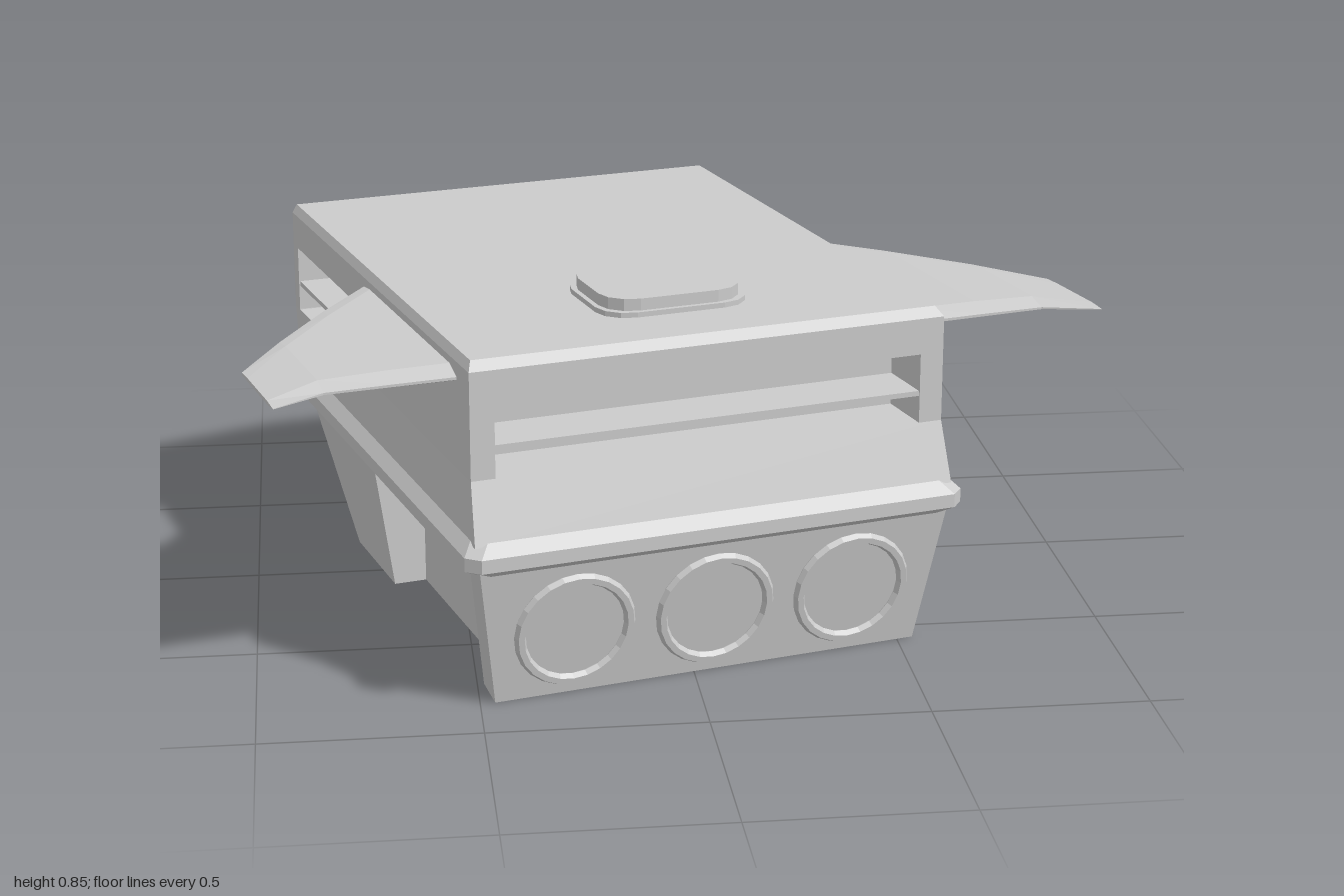
import * as THREE from 'three';
import { ConvexGeometry } from 'three/addons/geometries/ConvexGeometry.js';

const material = new THREE.MeshStandardMaterial({ color: 0xcccccc, flatShading: true });

function part(parent, name, geometry) {
  const mesh = new THREE.Mesh(geometry, material);
  mesh.name = name;
  parent.add(mesh);
  return mesh;
}

// Closed solid through a stack of rings of [x, y, z] points
function loft(rings) {
  const pos = [];
  const tri = (a, b, c) => pos.push(...a, ...b, ...c);
  const n = rings[0].length;
  for (let r = 0; r < rings.length - 1; r++) {
    const a = rings[r], b = rings[r + 1];
    for (let i = 0; i < n; i++) {
      const j = (i + 1) % n;
      tri(a[i], a[j], b[j]);
      tri(a[i], b[j], b[i]);
    }
  }
  const bottom = rings[0], top = rings[rings.length - 1];
  for (let i = 1; i < n - 1; i++) {
    tri(bottom[0], bottom[i + 1], bottom[i]);
    tri(top[0], top[i], top[i + 1]);
  }
  const g = new THREE.BufferGeometry();
  g.setAttribute('position', new THREE.Float32BufferAttribute(pos, 3));
  g.computeVertexNormals();
  return g;
}

// Rectangular levels [y, half width, front z, back z], front corners cut by c
function hull(levels, c = 0) {
  return loft(levels.map(([y, w, f, b]) => c
    ? [[w - c, y, f], [w, y, f - c], [w, y, b], [-w, y, b], [-w, y, f - c], [-w + c, y, f]]
    : [[w, y, f], [w, y, b], [-w, y, b], [-w, y, f]]));
}

// Plan outline given as its right half [x, z], mirrored and raised between two heights
function slab(half, y0, y1) {
  const all = [...half, ...half.map(([x, z]) => [-x, z]).reverse()];
  const shape = new THREE.Shape(all.map(([x, z]) => new THREE.Vector2(x, -z)));
  return new THREE.ExtrudeGeometry(shape, { depth: y1 - y0, bevelEnabled: false })
    .rotateX(-Math.PI / 2).translate(0, y0, 0);
}

// Tapered wing with a sharp leading edge: stations [x, back z, front z, half thickness]
function wing(side) {
  const y = 0.752;
  const stations = [[0.55, -0.09, 0.65, 0.021], [0.72, 0.1, 0.648, 0.02],
    [0.872, 0.284, 0.648, 0.016], [1.0, 0.444, 0.708, 0.004]];
  return loft(stations.map(([x, b, f, t]) => {
    const ring = [[b, -0.7], [b, 0.7], [b + 0.05, 1], [f - 0.05, 1], [f, 0.15], [f, -0.15], [f - 0.05, -1], [b + 0.05, -1]]
      .map(([z, k]) => [side * x, y + k * t, z]);
    return side > 0 ? ring : ring.reverse();
  }));
}

// Rounded rectangle hatch layer
function hatchLayer(w, d, y0, y1) {
  const c = 0.075, half = [];
  for (const s of [1, -1]) {
    for (let i = 0; i <= 3; i++) {
      const a = (s > 0 ? Math.PI / 2 - i * Math.PI / 6 : -i * Math.PI / 6);
      half.push([w - c + c * Math.cos(a), s * (d - c) + c * Math.sin(a)]);
    }
  }
  return slab(half, y0, y1).translate(0, 0, 0.393);
}

export function createModel() {
  const model = new THREE.Group();
  model.name = 'vehicle';
  const body = new THREE.Group();
  body.name = 'body';
  body.position.set(-0.15, 0, 0.01);
  body.rotation.y = Math.PI / 12;
  model.add(body);

  // Upper body: flared skirt, window band with recesses, bevelled roof
  part(body, 'skirt', hull([[0.4, 0.58, 0.78, -0.65], [0.54, 0.572, 0.735, -0.71]]));
  part(body, 'windowBand', slab([
    [0.515, 0.585], [0.515, 0.735], [0.572, 0.735], [0.572, -0.05],
    [0.345, -0.05], [0.345, -0.67], [0.572, -0.67], [0.572, -0.71],
  ], 0.54, 0.705));
  part(body, 'windowBar', new THREE.BoxGeometry(1.138, 0.012, 1.43).translate(0, 0.61, 0.016));
  part(body, 'roof', hull([[0.705, 0.572, 0.735, -0.71], [0.79, 0.572, 0.735, -0.71], [0.81, 0.56, 0.71, -0.71]]));

  // Faceted rear bulge
  const tail = [];
  for (const s of [1, -1]) {
    for (const [x, y, z] of [[0.56, 0.808, -0.709], [0.572, 0.54, -0.709], [0.575, 0.405, -0.65],
      [0.233, 0.59, -0.943], [0.233, 0.46, -0.943]]) tail.push(new THREE.Vector3(s * x, y, z));
  }
  part(body, 'rearBulge', new ConvexGeometry(tail));

  // Belt around the waist
  part(body, 'belt', hull([[0.33, 0.575, 0.78, -0.61], [0.35, 0.605, 0.81, -0.62],
    [0.382, 0.605, 0.81, -0.635], [0.41, 0.578, 0.775, -0.65]], 0.03));

  // Lower hull: recessed middle and full-width rear block
  part(body, 'lowerCore', hull([[0, 0.44, 0.66, -0.2], [0.29, 0.44, 0.66, -0.2], [0.345, 0.57, 0.7, -0.2]]));
  part(body, 'rearBlock', hull([[0, 0.52, -0.05, -0.36], [0.345, 0.57, -0.05, -0.613]]));

  // Sloping front plate with three round nozzles
  const front = new THREE.Group();
  front.name = 'frontPlate';
  front.position.z = 0.72;
  front.rotation.x = Math.atan2(0.06, 0.335);
  body.add(front);
  const plate = new THREE.Shape([[-0.52, 0], [0.52, 0], [0.57, 0.345], [-0.57, 0.345]].map(p => new THREE.Vector2(...p)));
  for (const x of [-0.34, 0, 0.34]) {
    plate.holes.push(new THREE.Path().absarc(x, 0.168, 0.128, 0, Math.PI * 2, true));
    part(front, 'nozzleRing', new THREE.TorusGeometry(0.131, 0.014, 6, 24).translate(x, 0.168, 0.005));
    part(front, 'nozzleBack', new THREE.CircleGeometry(0.13, 24).translate(x, 0.168, -0.06));
  }
  part(front, 'plate', new THREE.ExtrudeGeometry(plate, { depth: 0.08, bevelEnabled: false, curveSegments: 24 })
    .translate(0, 0, -0.08));

  // Wings and roof hatch
  part(body, 'leftWing', wing(1));
  part(body, 'rightWing', wing(-1));
  part(body, 'hatchBase', hatchLayer(0.182, 0.154, 0.8, 0.822));
  part(body, 'hatchLid', hatchLayer(0.17, 0.142, 0.8, 0.85));

  return model;
}
